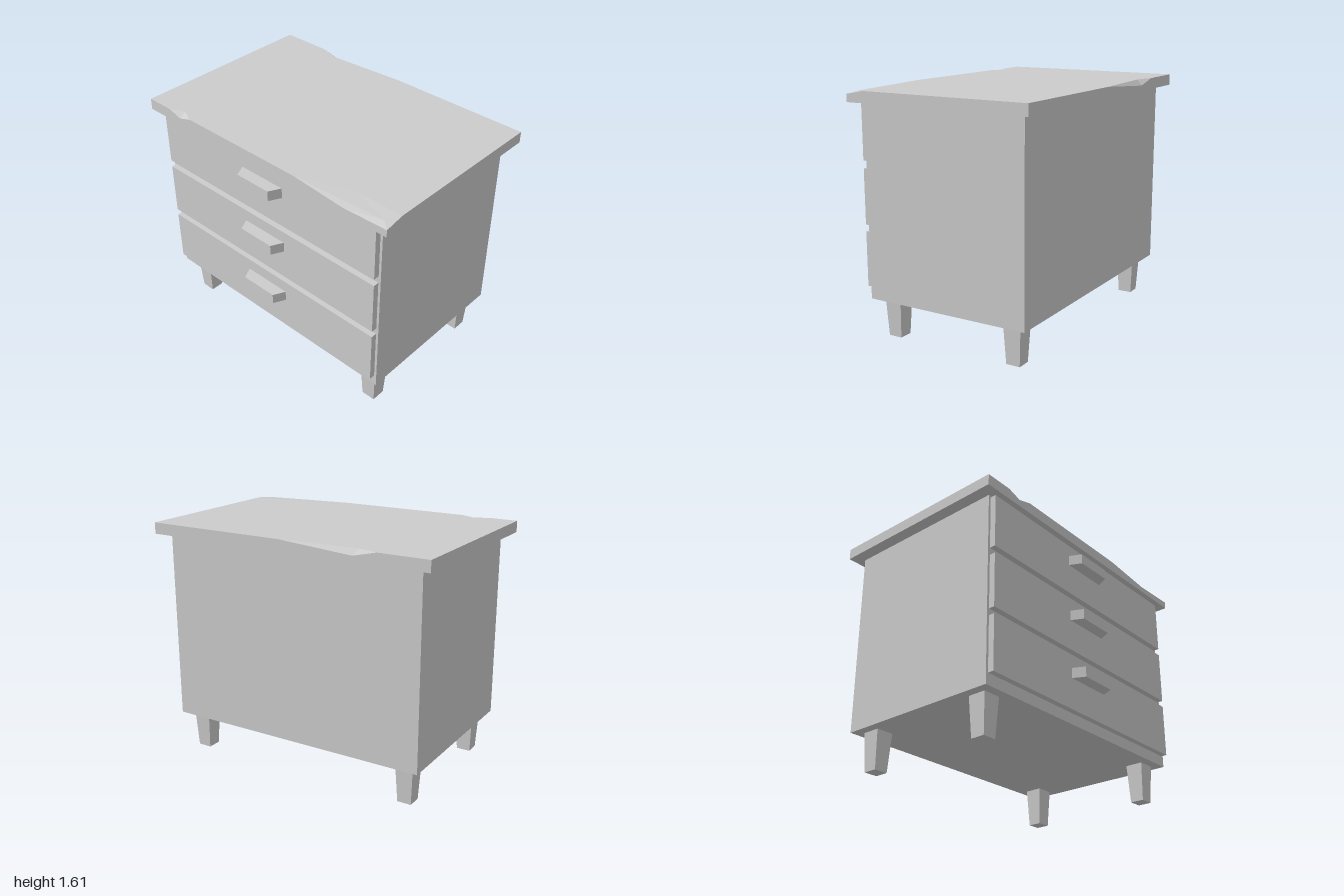
import * as THREE from 'three';

const material = new THREE.MeshStandardMaterial({ color: 0xcccccc, flatShading: true });

function add(parent, name, geometry, x = 0, y = 0, z = 0) {
  const mesh = new THREE.Mesh(geometry, material);
  mesh.name = name;
  mesh.position.set(x, y, z);
  parent.add(mesh);
  return mesh;
}

// Box whose vertices are moved by a rule
function shapedBox(w, h, d, rule) {
  const geometry = new THREE.BoxGeometry(w, h, d);
  const p = geometry.attributes.position;
  const v = new THREE.Vector3();
  for (let i = 0; i < p.count; i++) {
    rule(v.fromBufferAttribute(p, i));
    p.setXYZ(i, v.x, v.y, v.z);
  }
  geometry.computeVertexNormals();
  return geometry;
}

// Slab with chipped edges
function chippedTop() {
  const y0 = 1.535, y1 = 1.61, zf = 0.62, zb = -0.67;
  const P = (x, y, z) => new THREE.Vector3(x, y, z);
  const out = [];
  // Flat polygon, counter-clockwise in the given projection
  const face = (pts, flat) => {
    const contour = pts.map((p) => new THREE.Vector2(...flat(p)));
    for (const tri of THREE.ShapeUtils.triangulateShape(contour, [])) {
      for (const i of tri) out.push(...pts[i].toArray());
    }
  };
  // Chip: facets from an inner point to a ring of points
  const fan = (centre, ring) => {
    for (let i = 0; i + 1 < ring.length; i++) {
      for (const p of [centre, ring[i], ring[i + 1]]) out.push(...p.toArray());
    }
  };

  // Corners, bottom then top
  const bFL = P(-1, y0, zf), bFR = P(1, y0, zf), bBR = P(1, y0, zb), bBL = P(-1, y0, zb);
  const tFL = P(-1, y1, zf), tBR = P(1, y1, zb), tBL = P(-1, y1, zb);
  // Small front chip
  const s = [P(-0.81, y1, zf), P(-0.71, 1.58, zf), P(-0.61, y1, zf)];
  const sIn = P(-0.71, y1, 0.575);
  // Worn front corner
  const c = [P(0.3, y1, zf), P(0.68, 1.575, zf), P(1, 1.585, zf), P(1, y1, 0.49), P(0.68, y1, 0.49)];
  const cIn = P(0.95, 1.602, 0.58);
  // Back chip
  const k = [P(0.02, y1, zb), P(-0.5, 1.572, zb), P(-0.66, y1, zb)];
  const kIn = P(-0.52, y1, -0.63);

  fan(sIn, s);
  fan(cIn, [...c, c[0]]);
  fan(kIn, k);
  face([tFL, s[0], sIn, s[2], c[0], c[4], c[3], tBR, k[0], kIn, k[2], tBL], (p) => [p.x, -p.z]);
  face([bFL, bFR, c[2], c[1], c[0], s[2], s[1], s[0], tFL], (p) => [p.x, p.y]);
  face([bFR, bBR, tBR, c[3], c[2]], (p) => [-p.z, p.y]);
  face([bBR, bBL, tBL, k[2], k[1], k[0], tBR], (p) => [-p.x, p.y]);
  face([bBL, bFL, tFL, tBL], (p) => [p.z, p.y]);
  face([bBL, bBR, bFR, bFL], (p) => [p.x, p.z]);

  const geometry = new THREE.BufferGeometry();
  geometry.setAttribute('position', new THREE.Float32BufferAttribute(out, 3));
  geometry.computeVertexNormals();
  return geometry;
}

export function createModel() {
  const group = new THREE.Group();
  group.name = 'chestOfDrawers';

  add(group, 'cabinet', new THREE.BoxGeometry(1.84, 1.275, 1.15), 0, 0.8975, -0.025);
  add(group, 'top', chippedTop());

  // Drawers with handles narrowing to the front
  const front = new THREE.BoxGeometry(1.806, 0.365, 0.04);
  const handle = shapedBox(0.34, 0.07, 0.08, (v) => { if (v.z > 0) v.x *= 0.77; });
  [0.517, 0.927, 1.342].forEach((y, i) => {
    const drawer = new THREE.Group();
    drawer.name = `drawer${i + 1}`;
    add(drawer, 'drawerFront', front, 0, y, 0.57);
    add(drawer, 'handle', handle, 0, y + 0.065, 0.63);
    group.add(drawer);
  });

  // Legs tapering to the floor
  const leg = shapedBox(0.122, 0.26, 0.122, (v) => {
    if (v.y < 0) { v.x *= 0.78; v.z *= 0.78; }
  });
  for (const [side, x] of [['left', 0.798], ['right', -0.798]]) {
    add(group, `${side}FrontLeg`, leg, x, 0.13, 0.425);
    add(group, `${side}BackLeg`, leg, x, 0.13, -0.475);
  }
  return group;
}
